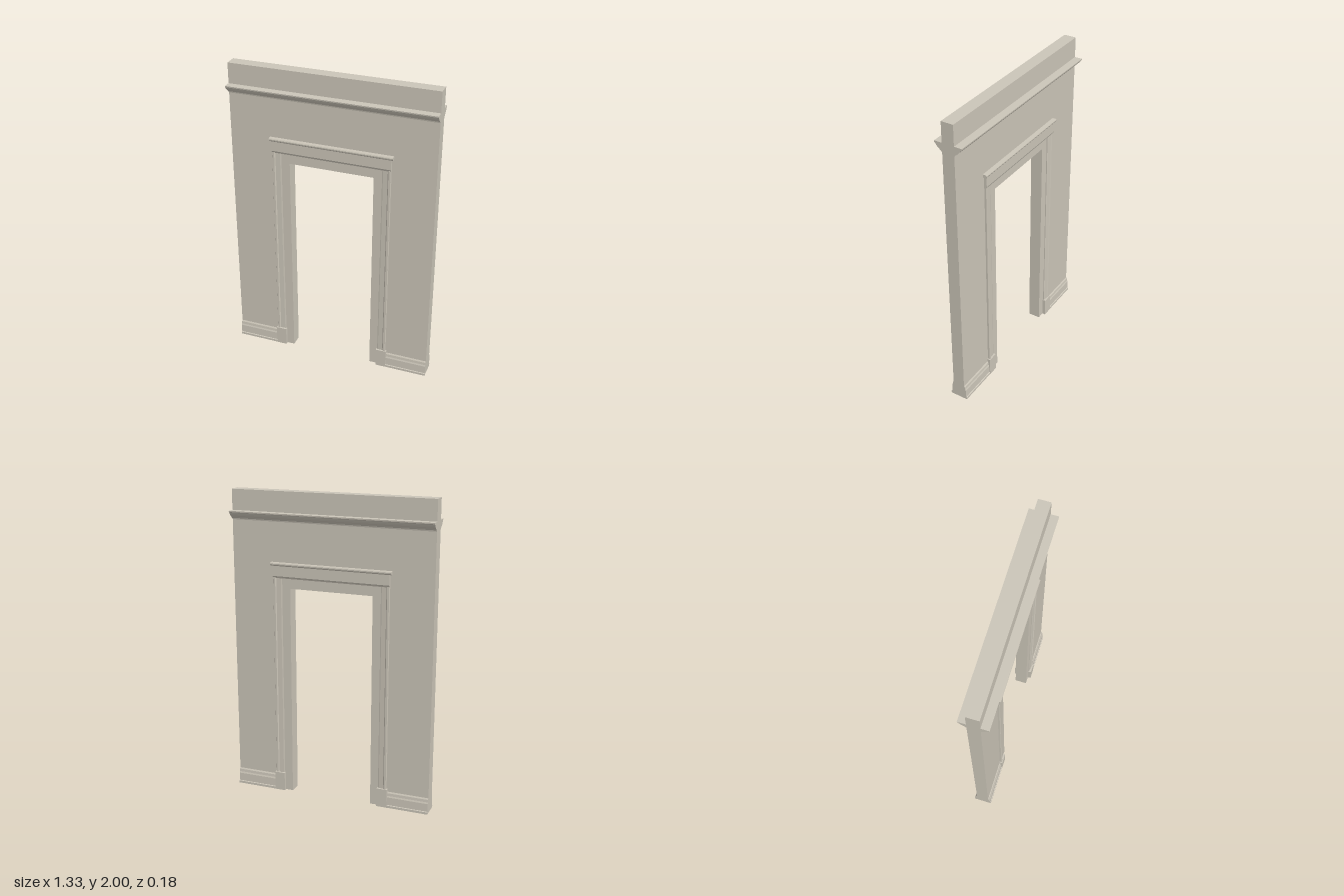
import * as THREE from 'three';

const stone = new THREE.MeshStandardMaterial({ color: 0xcbc5b8 });
stone.name = 'warm stone';

const W = 0.667; // half width of the wall
const T = 0.04; // half thickness of the wall
const DOOR = 0.275; // half width of the opening

const shapeOf = (points) => new THREE.Shape(points.map(([a, b]) => new THREE.Vector2(a, b)));

function part(name, geometry) {
  const mesh = new THREE.Mesh(geometry, stone);
  mesh.name = name;
  return mesh;
}

// Moulding running along x from x0 to x1, profile given as [z, y]
function moulding(name, profile, x0, x1) {
  const g = new THREE.ExtrudeGeometry(shapeOf(profile), { depth: x1 - x0, bevelEnabled: false });
  g.rotateY(-Math.PI / 2).translate(x1, 0, 0);
  return part(name, g);
}

// Upright trim from y0 to y1, profile given as [x, z]
function upright(name, profile, y0, y1) {
  const g = new THREE.ExtrudeGeometry(shapeOf(profile.map(([x, z]) => [x, -z])), {
    depth: y1 - y0, bevelEnabled: false,
  });
  g.rotateX(-Math.PI / 2).translate(0, y0, 0);
  return part(name, g);
}

const IN = 0.03; // trim is sunk slightly into the wall

const cornice = [
  [IN, 1.81], [0.044, 1.81], [0.046, 1.818], [0.054, 1.822], [0.06, 1.829],
  [0.071, 1.837], [0.08, 1.848], [0.084, 1.855], [0.09, 1.86], [0.091, 1.868], [IN, 1.868],
];
const frieze = [
  [IN, 1.455], [0.052, 1.455], [0.054, 1.46], [0.058, 1.468], [0.058, 1.54], [IN, 1.54],
];
const cap = [
  [IN, 1.534], [0.061, 1.534], [0.066, 1.541], [0.067, 1.548], [0.064, 1.554], [IN, 1.555],
];
const skirting = [
  [IN, 0], [0.06, 0], [0.06, 0.015], [0.055, 0.018], [0.053, 0.07],
  [0.049, 0.08], [0.047, 0.097], [0.042, 0.105], [IN, 0.105],
];
const casing = [
  [0.33, IN], [0.33, 0.046], [0.336, 0.048], [0.366, 0.05], [0.372, 0.055],
  [0.385, 0.055], [0.387, 0.052], [0.387, IN],
];

// Trim for one face of the wall
function faceTrim(name) {
  const group = new THREE.Group();
  group.name = name;
  group.add(
    moulding('cornice', cornice, -W, W),
    moulding('lintelFrieze', frieze, -0.388, 0.388),
    moulding('lintelCap', cap, -0.4, 0.4),
  );
  for (const s of [1, -1]) {
    const side = s > 0 ? 'left' : 'right';
    group.add(
      upright(side + 'Casing', casing.map(([x, z]) => [s * x, z]), 0.12, 1.46),
      moulding(side + 'Skirting', skirting, s > 0 ? 0.385 : -W, s > 0 ? W : -0.385),
    );
    const plinth = part(side + 'Plinth', new THREE.BoxGeometry(0.069, 0.125, 0.061 - IN));
    plinth.position.set(s * 0.3595, 0.0625, (0.061 + IN) / 2);
    group.add(plinth);
  }
  return group;
}

export function createModel() {
  const model = new THREE.Group();
  model.name = 'wallWithDoorway';

  // Wall slab with the doorway cut out of its foot
  const outline = shapeOf([
    [-W, 0], [-DOOR, 0], [-DOOR, 1.39], [DOOR, 1.39], [DOOR, 0], [W, 0], [W, 2], [-W, 2],
  ]);
  const slab = new THREE.ExtrudeGeometry(outline, { depth: 2 * T, bevelEnabled: false });
  model.add(part('wall', slab.translate(0, 0, -T)));

  // The same trim on both faces
  const back = faceTrim('backTrim');
  back.rotation.y = Math.PI;
  model.add(faceTrim('frontTrim'), back);
  return model;
}
